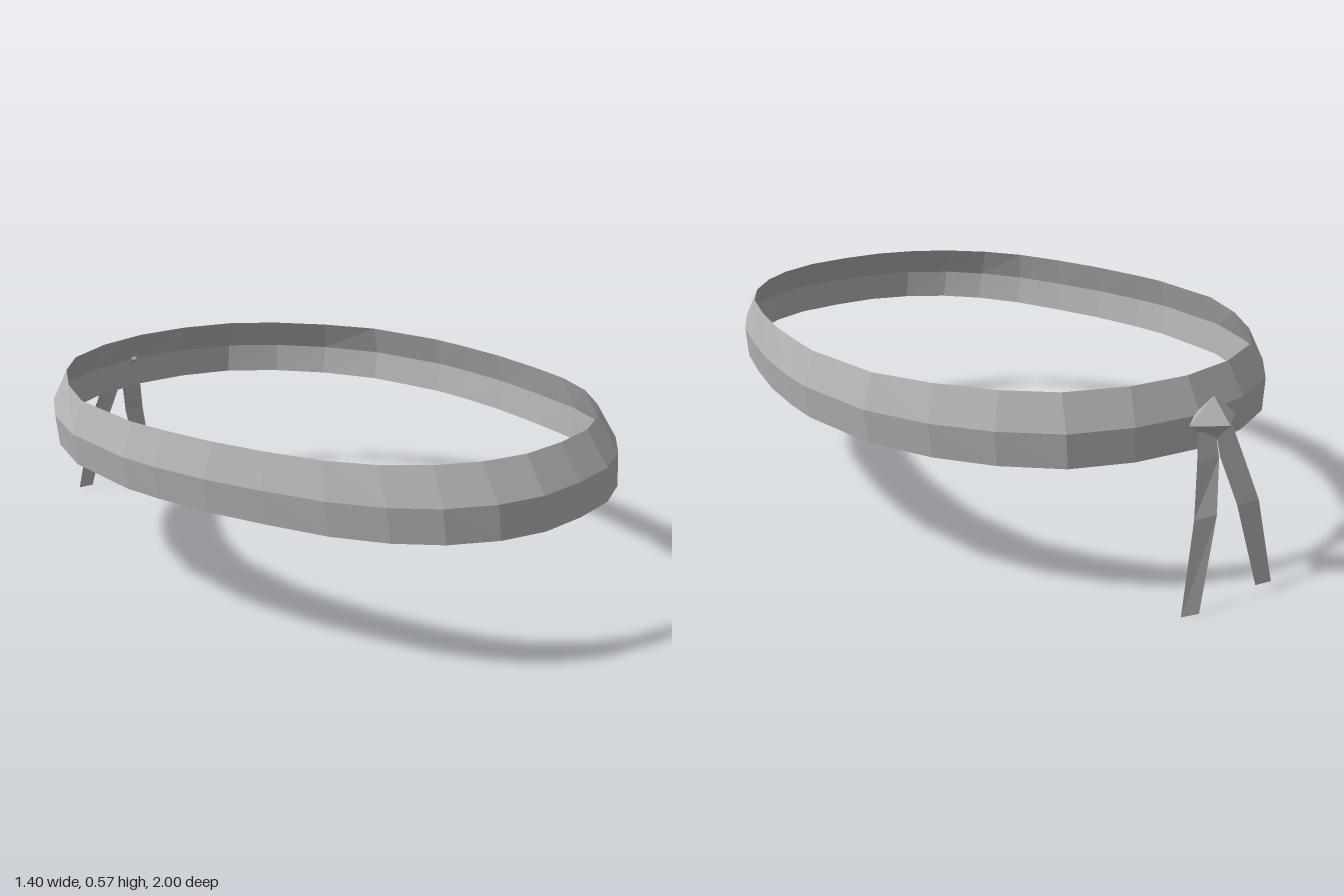
import * as THREE from 'three';

const grey = new THREE.MeshStandardMaterial({ color: 0xb4b4b4, side: THREE.DoubleSide });
grey.name = 'grey cloth';

// Skins consecutive rows of points with flat-shaded quads
function loft(rows, closed) {
  const pos = [];
  const n = rows[0].length;
  for (let r = 0; r < rows.length - 1; r++) {
    for (let i = 0; i < (closed ? n : n - 1); i++) {
      const j = (i + 1) % n;
      const a = rows[r][i], b = rows[r][j], c = rows[r + 1][j], d = rows[r + 1][i];
      pos.push(...a, ...b, ...c, ...a, ...c, ...d);
    }
  }
  const g = new THREE.BufferGeometry();
  g.setAttribute('position', new THREE.Float32BufferAttribute(pos, 3));
  g.computeVertexNormals();
  return g;
}

// Half outlines [x, z] from the back to the front, mirrored into full rings
const widest = [[0, -0.855], [0.2, -0.825], [0.37, -0.755], [0.5, -0.63], [0.6, -0.48],
  [0.675, -0.29], [0.702, -0.02], [0.692, 0.1], [0.665, 0.27], [0.62, 0.44], [0.565, 0.61],
  [0.49, 0.75], [0.4, 0.855], [0.28, 0.935], [0.15, 0.98], [0, 0.99]];
const top = [[0, -0.805], [0.18, -0.78], [0.35, -0.71], [0.465, -0.6], [0.565, -0.45],
  [0.64, -0.28], [0.666, -0.02], [0.655, 0.1], [0.63, 0.27], [0.59, 0.43], [0.54, 0.58],
  [0.47, 0.7], [0.375, 0.8], [0.27, 0.87], [0.14, 0.915], [0, 0.925]];
const bottom = widest.map(([x, z]) => [x * 0.982, z > 0 ? z * 1.01 : z]);

function ring(half, y) {
  const right = half.map(([x, z]) => [x, y, z]);
  const left = half.slice(1, -1).reverse().map(([x, z]) => [-x, y, z]);
  return [...right, ...left];
}

export function createModel() {
  const model = new THREE.Group();
  const add = (name, geometry) => {
    const mesh = new THREE.Mesh(geometry, grey);
    mesh.name = name;
    model.add(mesh);
    return mesh;
  };

  // Cloth band
  add('headband', loft([ring(bottom, 0.385), ring(widest, 0.48), ring(top, 0.575)], true));

  // Diamond-shaped knot at the back
  const knot = add('knot', new THREE.OctahedronGeometry(1, 0));
  knot.scale.set(0.085, 0.065, 0.062);
  knot.position.set(0, 0.48, -0.9);

  // Two hanging ends: rows of inner and outer edge points, each with its own twist
  for (const [name, s, tipIn, tipOut] of [['leftTail', 1, -1, -0.985], ['rightTail', -1, -0.982, -0.992]]) {
    add(name, loft([
      [[0, 0.46, -0.91], [s * 0.062, 0.46, -0.91]],
      [[s * 0.002, 0.385, -0.932], [s * 0.083, 0.385, -0.932]],
      [[s * 0.045, 0.25, s > 0 ? -0.975 : -0.962], [s * 0.115, 0.25, s > 0 ? -0.962 : -0.975]],
      [[s * 0.118, 0, tipIn], [s * 0.169, 0, tipOut]],
    ], false));
  }
  return model;
}
